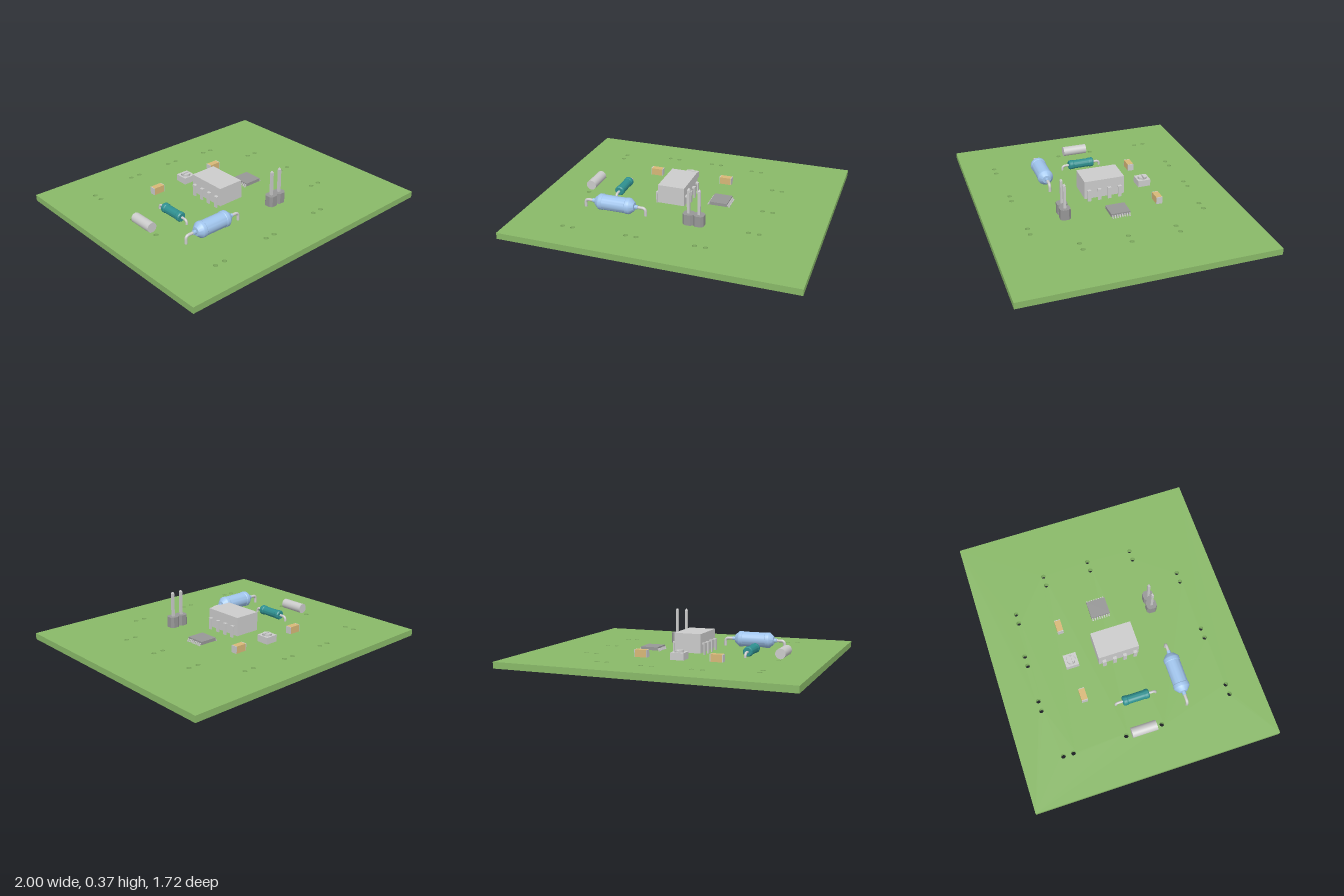
import * as THREE from 'three';
import { toCreasedNormals } from 'three/addons/utils/BufferGeometryUtils.js';

const TOP = 0.117, BOTTOM = 0.073;
const mat = (color) => new THREE.MeshStandardMaterial({ color });
const grey = mat(0xcccccc), dark = mat(0x979797), green = mat(0x89b968);
const blue = mat(0xa0c4ec), teal = mat(0x2f9090), tan = mat(0xd8b878);

function add(parent, name, geometry, material, x = 0, y = 0, z = 0) {
  const mesh = new THREE.Mesh(geometry, material);
  mesh.name = name;
  mesh.position.set(x, y, z);
  parent.add(mesh);
  return mesh;
}

function group(parent, name, x, y, z) {
  const g = new THREE.Group();
  g.name = name;
  g.position.set(x, y, z);
  parent.add(g);
  return g;
}

const box = (w, h, d) => new THREE.BoxGeometry(w, h, d);

// Solid of revolution lying along x, profile given as [radius, x]
function lathe(points) {
  const profile = points.map(([r, x]) => new THREE.Vector2(r, x));
  return toCreasedNormals(new THREE.LatheGeometry(profile, 32).rotateZ(-Math.PI / 2), 0.4);
}

// Wire leaving a body along x and bending down to y = 0
function lead(parent, start, end, height, radius) {
  const s = Math.sign(end), bend = 0.025;
  const path = new THREE.CurvePath();
  const v = (x, y) => new THREE.Vector3(x, y, 0);
  path.add(new THREE.LineCurve3(v(start, 0), v(end - s * bend, 0)));
  path.add(new THREE.QuadraticBezierCurve3(v(end - s * bend, 0), v(end, 0), v(end, -bend)));
  path.add(new THREE.LineCurve3(v(end, -bend), v(end, -height)));
  add(parent, 'lead', new THREE.TubeGeometry(path, 48, radius, 12), grey);
  add(parent, 'leadTip', new THREE.CircleGeometry(radius, 12).rotateX(Math.PI / 2), grey, end, -height, 0);
}

function buildBoard(root) {
  const shape = new THREE.Shape();
  shape.moveTo(-1, -0.86).lineTo(1, -0.86).lineTo(1, 0.86).lineTo(-1, 0.86).closePath();
  const hole = (x, z) => shape.holes.push(new THREE.Path().absarc(x, z, 0.016, 0, Math.PI * 2, true));
  // Hole pairs along x, then the pairs along z
  for (const [x, z] of [[-0.35, -0.63], [-0.011, -0.63], [0.313, -0.602], [0.535, -0.333], [0.548, 0.006],
    [0.535, 0.328], [0.26, 0.598], [-0.2, 0.615], [-0.639, 0.633]]) {
    hole(x, z);
    hole(x + 0.072, z);
  }
  for (const z of [-0.578, -0.508, -0.135, 0.12]) hole(-0.695, z);
  const geo = new THREE.ExtrudeGeometry(shape, { depth: TOP - BOTTOM, bevelEnabled: false, curveSegments: 16 });
  add(root, 'board', toCreasedNormals(geo.rotateX(Math.PI / 2), 0.6), green, 0, TOP, 0);
}

function buildBlueResistor(root) {
  const g = group(root, 'largeResistor', -0.397, 0.172, 0.328);
  const half = [[0, 0.165], [0.014, 0.165], [0.014, 0.143], [0.03, 0.141], [0.054, 0.113],
    [0.056, 0.108], [0.056, 0.086], [0.053, 0.082]];
  const profile = [...half.map(([r, x]) => [r, -x]), ...half.slice().reverse()];
  add(g, 'resistorBody', lathe(profile), blue);
  for (const s of [-1, 1]) lead(g, s * 0.16, s * 0.22, 0.172, 0.0105);
}

function buildTealResistor(root) {
  const g = group(root, 'smallResistor', -0.468, 0.149, 0.009);
  g.rotation.y = Math.PI / 2;
  const half = [[0, 0.094], [0.028, 0.094], [0.034, 0.086], [0.034, 0.064], [0.031, 0.058]];
  const profile = [...half.map(([r, x]) => [r, -x]), ...half.slice().reverse()];
  add(g, 'resistorBody', lathe(profile), teal);
  for (const s of [-1, 1]) lead(g, s * 0.09, s * 0.143, 0.149, 0.009);
}

function buildRelay(root) {
  const g = group(root, 'relay', -0.066, 0, -0.01);
  add(g, 'relayBody', box(0.19, 0.132, 0.289), grey, 0, 0.196, 0);
  for (const s of [-1, 1]) {
    for (const z of [-0.108, -0.033, 0.04, 0.115]) {
      add(g, 'pinShoulder', box(0.02, 0.01, 0.026), grey, s * 0.1, 0.194, z);
      add(g, 'pinBlade', box(0.009, 0.082, 0.026), grey, s * 0.111, 0.158, z);
      add(g, 'pinLeg', box(0.009, 0.052, 0.013), grey, s * 0.111, 0.094, z);
    }
  }
}

function buildChip(root) {
  const g = group(root, 'chip', 0.242, TOP, -0.033);
  add(g, 'chipBody', box(0.125, 0.022, 0.137), dark, 0, 0.016, 0);
  // Gull-wing pins
  const wing = new THREE.Shape();
  wing.moveTo(0.06, 0.018).lineTo(0.07, 0.018).lineTo(0.074, 0.005).lineTo(0.079, 0.005)
    .lineTo(0.079, 0).lineTo(0.07, 0).lineTo(0.066, 0.013).lineTo(0.06, 0.013).closePath();
  const geo = new THREE.ExtrudeGeometry(wing, { depth: 0.008, bevelEnabled: false }).translate(0, 0, -0.004);
  for (let i = 0; i < 8; i++) {
    const z = -0.06 + i * 0.12 / 7;
    add(g, 'chipPin', geo, grey, 0, 0, z);
    add(g, 'chipPin', geo, grey, 0, 0, z).rotation.y = Math.PI;
  }
}

function buildHeader(root) {
  const a = 0.036, c = 0.02;
  const octagon = new THREE.Shape([[a, -c], [a, c], [c, a], [-c, a], [-a, c], [-a, -c], [-c, -a], [c, -a]]
    .map(([x, y]) => new THREE.Vector2(x, y)));
  const housing = new THREE.ExtrudeGeometry(octagon, { depth: 0.076, bevelEnabled: false }).rotateX(-Math.PI / 2);
  const tip = new THREE.CylinderGeometry(0.005, 0.0125, 0.012, 4).rotateY(Math.PI / 4).toNonIndexed();
  tip.computeVertexNormals();
  const g = group(root, 'pinHeader', 0.166, 0, 0.328);
  for (const x of [-0.036, 0.036]) {
    add(g, 'headerHousing', housing, dark, x, TOP, 0);
    add(g, 'headerPin', box(0.0177, 0.312, 0.0177), grey, x, 0.204, 0);
    add(g, 'pinTip', tip, grey, x, 0.366, 0);
    add(g, 'pinTip', tip, grey, x, 0.042, 0).rotation.x = Math.PI;
  }
}

function buildCapacitor(root, x, z) {
  const g = group(root, 'chipCapacitor', x, TOP + 0.025, z);
  add(g, 'capacitorBody', box(0.08, 0.05, 0.043), tan);
  for (const s of [-1, 1]) add(g, 'capacitorEnd', box(0.005, 0.05, 0.043), grey, s * 0.0425, 0, 0);
}

function buildTrimmer(root) {
  const g = group(root, 'trimmer', -0.079, TOP, -0.333);
  add(g, 'trimmerBase', box(0.092, 0.03, 0.092), grey, 0, 0.015, 0);
  // Square collar around the turning disc
  const collar = new THREE.Shape();
  collar.moveTo(-0.046, -0.046).lineTo(0.046, -0.046).lineTo(0.046, 0.046).lineTo(-0.046, 0.046).closePath();
  collar.holes.push(new THREE.Path().absarc(0, 0, 0.034, 0, Math.PI * 2, true));
  const geo = new THREE.ExtrudeGeometry(collar, { depth: 0.018, bevelEnabled: false, curveSegments: 16 });
  add(g, 'trimmerCollar', geo.rotateX(-Math.PI / 2), grey, 0, 0.03, 0);
  // Two disc segments leave the screwdriver slot between them
  const segment = new THREE.Shape().absarc(0, 0, 0.029, 0.2, Math.PI - 0.2, false);
  const half = new THREE.ExtrudeGeometry(segment, { depth: 0.03, bevelEnabled: false }).rotateX(-Math.PI / 2);
  add(g, 'trimmerRotor', half, grey, 0, 0.03, 0);
  add(g, 'trimmerRotor', half, grey, 0, 0.03, 0).rotation.y = Math.PI;
}

export function createModel() {
  const root = new THREE.Group();
  root.name = 'circuitBoard';
  buildBoard(root);
  buildBlueResistor(root);
  buildTealResistor(root);
  // Plain cylinder lying on the board
  add(root, 'cylinderCan', new THREE.CylinderGeometry(0.035, 0.035, 0.177, 32).rotateX(Math.PI / 2), grey,
    -0.695, TOP + 0.035, -0.008);
  buildRelay(root);
  buildChip(root);
  buildHeader(root);
  buildCapacitor(root, -0.34, -0.327);
  buildCapacitor(root, 0.188, -0.34);
  buildTrimmer(root);
  return root;
}
